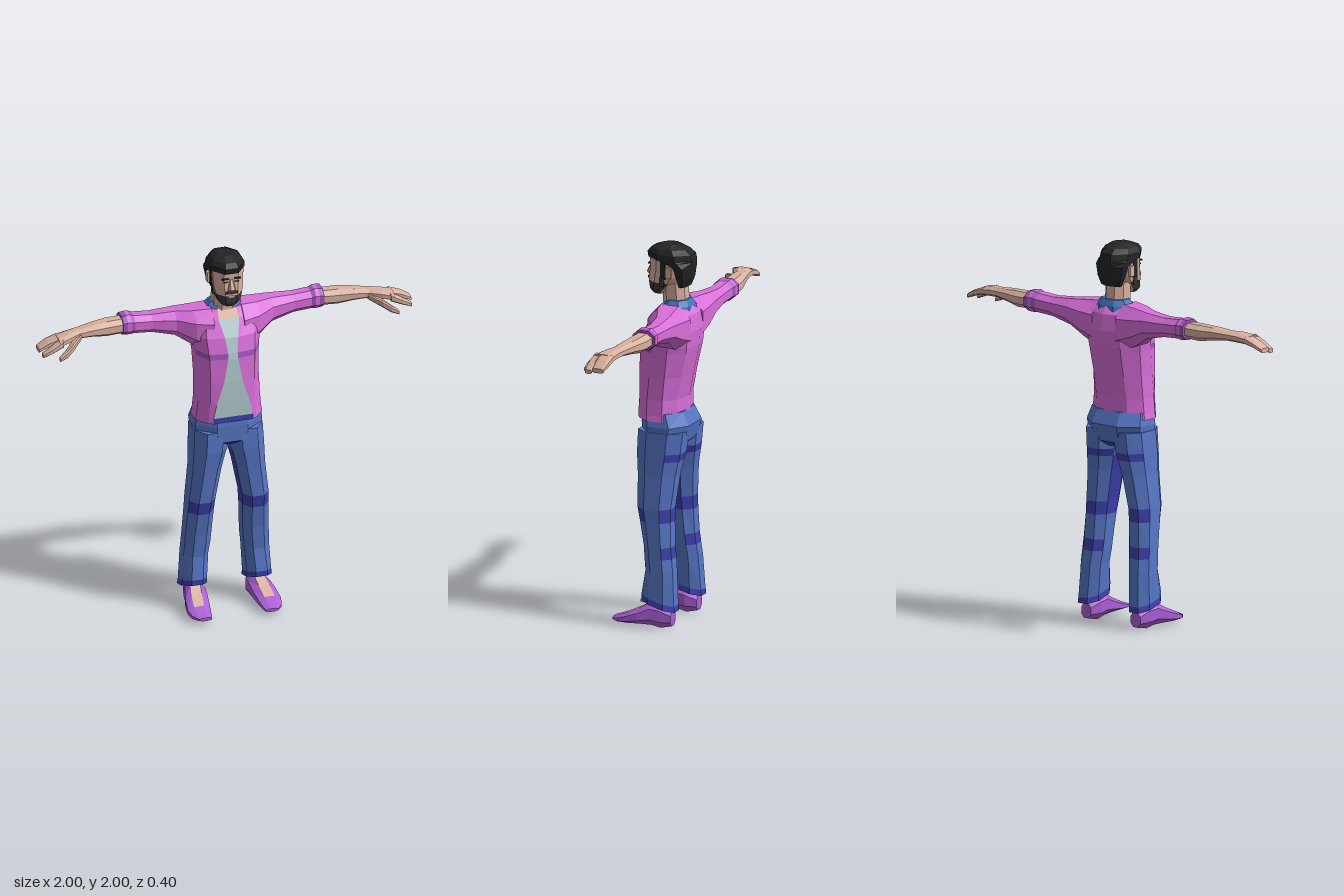
import * as THREE from 'three';

const paint = (name, color) => {
  const m = new THREE.MeshStandardMaterial({ color });
  m.name = name;
  return m;
};
const skin = paint('skin', 0xd9b09f);
const pink = paint('shirt pink', 0xd96fdb);
const purple = paint('purple trim', 0xa056bd);
const tee = paint('undershirt', 0xb5cdd0);
const blue = paint('denim', 0x5676c6);
const navy = paint('dark denim', 0x3c40ae);
const collarBlue = paint('collar blue', 0x4274bd);
const hair = paint('hair', 0x242424);
const beard = paint('beard', 0x3d3836);
const shoe = paint('shoe purple', 0xac5fd6);

const V = (x, y, z) => new THREE.Vector3(x, y, z);

// Octagon inside a rectangle. Sides: 0 +b, 2 +a, 4 -b, 6 -a, odd ones are corners.
function oct(a0, a1, b0, b1, f = 0.27) {
  const c = (a1 - a0) * f, d = (b1 - b0) * f;
  return [[a0 + c, b1], [a1 - c, b1], [a1, b1 - d], [a1, b0 + d],
    [a1 - c, b0], [a0 + c, b0], [a0, b0 + d], [a0, b1 - d]];
}

// Closed faceted skin over a row of rings; pick(row, side) gives the material, side -1 is a cap.
function loft(name, rings, pick) {
  const faces = new Map();
  let volume = 0;
  const tri = (m, a, b, c) => {
    volume += a.dot(b.clone().cross(c));
    if (!faces.has(m)) faces.set(m, []);
    faces.get(m).push([a, b, c]);
  };
  const n = rings[0].length;
  for (let i = 0; i < rings.length - 1; i++) {
    for (let j = 0; j < n; j++) {
      const k = (j + 1) % n, m = pick(i, j);
      tri(m, rings[i][j], rings[i][k], rings[i + 1][k]);
      tri(m, rings[i][j], rings[i + 1][k], rings[i + 1][j]);
    }
  }
  for (const end of [0, rings.length - 1]) {
    const r = rings[end];
    const mid = r.reduce((s, p) => s.add(p), V(0, 0, 0)).divideScalar(n);
    for (let j = 0; j < n; j++) {
      const a = r[j], b = r[(j + 1) % n];
      if (end) tri(pick(end - 1, -1), mid, a, b);
      else tri(pick(0, -1), mid, b, a);
    }
  }
  const geo = new THREE.BufferGeometry(), pos = [], mats = [];
  for (const [m, list] of faces) {
    geo.addGroup(pos.length / 3, list.length * 3, mats.length);
    mats.push(m);
    for (const [a, b, c] of list) {
      for (const p of volume > 0 ? [a, b, c] : [a, c, b]) pos.push(p.x, p.y, p.z);
    }
  }
  geo.setAttribute('position', new THREE.Float32BufferAttribute(pos, 3));
  geo.computeVertexNormals();
  const mesh = new THREE.Mesh(geo, mats);
  mesh.name = name;
  return mesh;
}

// Rows [y, half width, front z, back z] stacked upward
const stack = (rows, f) => rows.map(([y, w, zf, zb]) => oct(-w, w, zb, zf, f).map(([x, z]) => V(x, y, z)));
// Rows [x, top, bottom, front z, back z] running outward along an arm
const along = (s, rows, f) => rows.map(([x, t, b, zf, zb]) => oct(zb, zf, b, t, f).map(([z, y]) => V(s * x, y, z)));

function box(name, mat, w, h, d, x, y, z) {
  const m = new THREE.Mesh(new THREE.BoxGeometry(w, h, d), mat);
  m.name = name;
  m.position.set(x, y, z);
  return m;
}

function torso() {
  // y, half width, half opening, front z, back z
  const rows = [
    [1.09, 0.18, 0.105, 0.1, -0.145], [1.12, 0.174, 0.105, 0.1, -0.14], [1.2, 0.166, 0.088, 0.102, -0.14],
    [1.32, 0.163, 0.05, 0.104, -0.162], [1.45, 0.168, 0.027, 0.1, -0.19], [1.48, 0.172, 0.025, 0.095, -0.195],
    [1.56, 0.18, 0.035, 0.075, -0.2], [1.645, 0.165, 0.055, 0.025, -0.185], [1.69, 0.11, 0.05, -0.01, -0.15],
  ];
  const rings = rows.map(([y, w, p, zf, zb]) => {
    const zm = (zf + zb) / 2;
    const half = [[0, zf], [p, zf], [Math.max(0.72 * w, p + 0.01), zf - 0.015], [w, zm + 0.045],
      [w, zm - 0.04], [0.62 * w, zb + 0.025], [0, zb]];
    const other = half.slice(1, 6).reverse().map(([x, z]) => [-x, z]);
    return [...half, ...other].map(([x, z]) => V(x, y, z));
  });
  return loft('openShirt', rings, (i, j) => {
    if (j === 0 || j === 11) return i === 0 ? navy : i === 7 ? skin : tee;
    const front = j === 1 || j === 2 || j === 9 || j === 10;
    return i === 4 && front ? purple : pink;
  });
}

function arm(s) {
  const g = new THREE.Group();
  g.name = s > 0 ? 'leftArm' : 'rightArm';
  g.add(loft('sleeve', along(s, [
    [0.08, 1.695, 1.45, 0.045, -0.18], [0.17, 1.688, 1.49, 0.02, -0.18], [0.26, 1.68, 1.545, -0.035, -0.175],
    [0.38, 1.672, 1.572, -0.06, -0.168], [0.475, 1.678, 1.578, -0.062, -0.17], [0.495, 1.686, 1.576, -0.058, -0.178],
    [0.515, 1.686, 1.576, -0.058, -0.178], [0.54, 1.682, 1.58, -0.058, -0.18],
  ]), (i, j) => (i === 4 || i === 6 || (i === 2 && j === 4) ? purple : pink)));
  g.add(loft('forearm', along(s, [
    [0.52, 1.668, 1.588, -0.065, -0.168], [0.62, 1.667, 1.585, -0.06, -0.163], [0.7, 1.662, 1.598, -0.052, -0.145],
    [0.78, 1.653, 1.605, -0.045, -0.125], [0.84, 1.65, 1.6, -0.015, -0.112], [0.9, 1.64, 1.595, 0.005, -0.105],
  ]), () => skin));
  // Fingers curl slightly downward
  g.add(loft('fingers', along(s, [
    [0.89, 1.641, 1.6, -0.03, -0.106], [0.95, 1.62, 1.588, -0.032, -0.105], [1, 1.592, 1.568, -0.035, -0.095],
  ], 0.2), () => skin));
  g.add(loft('indexFinger', along(s, [
    [0.88, 1.64, 1.598, 0.006, -0.04], [0.94, 1.608, 1.575, 0.014, -0.03], [0.99, 1.577, 1.556, 0.01, -0.025],
  ], 0.2), () => skin));
  g.add(loft('thumb', along(s, [
    [0.77, 1.635, 1.607, -0.04, -0.08], [0.83, 1.618, 1.58, 0.025, -0.03], [0.87, 1.592, 1.556, 0.045, 0.005],
    [0.91, 1.563, 1.543, 0.052, 0.022],
  ], 0.2), () => skin));
  return g;
}

function leg(s) {
  const g = new THREE.Group();
  g.name = s > 0 ? 'leftLeg' : 'rightLeg';
  // y, inner x, outer x, front z, back z; the hem drops toward the heel
  const rows = [
    [0.12, 0.105, 0.242, 0.038, -0.143], [0.15, 0.107, 0.238, 0.04, -0.14], [0.3, 0.097, 0.23, 0.022, -0.13],
    [0.37, 0.088, 0.226, 0.03, -0.122], [0.43, 0.084, 0.223, 0.035, -0.115], [0.56, 0.078, 0.216, 0.06, -0.11],
    [0.63, 0.072, 0.213, 0.075, -0.11], [0.8, 0.04, 0.194, 0.083, -0.125], [0.88, 0.02, 0.19, 0.09, -0.14],
    [0.92, 0.006, 0.188, 0.093, -0.148], [1.03, 0.003, 0.182, 0.09, -0.16],
  ];
  const rings = rows.map(([y, a, b, zf, zb], i) => oct(a, b, zb, zf)
    .map(([x, z]) => V(s * x, y + (i < 2 ? 0.3 * (z + 0.05) : 0), z)));
  g.add(loft('trouserLeg', rings, (i, j) => {
    const back = j >= 3 && j <= 5;
    const dark = i === 0 || (i === 5 && j !== 2) || (i === 3 && back) || (i === 8 && back) || (j === 6 && (i === 6 || i === 7));
    return dark ? navy : blue;
  }));
  // Slip-on shoe: z, inner x, outer x, sole y, top y
  const foot = [
    [-0.12, 0.135, 0.2, 0.012, 0.09], [-0.06, 0.115, 0.215, 0, 0.13], [-0.01, 0.115, 0.225, 0.012, 0.135],
    [0.05, 0.12, 0.242, 0.015, 0.1], [0.12, 0.13, 0.25, 0.014, 0.068], [0.165, 0.138, 0.24, 0.014, 0.05],
    [0.2, 0.145, 0.212, 0.02, 0.038],
  ].map(([z, a, b, y0, y1]) => oct(a, b, y0, y1).map(([x, y]) => V(s * x, y, z)));
  g.add(loft('shoe', foot, (i, j) => (j === 0 && i >= 1 && i <= 3 ? skin : shoe)));
  return g;
}

function head() {
  const g = new THREE.Group();
  g.name = 'head';
  g.add(loft('neck', stack([[1.62, 0.068, 0, -0.14], [1.69, 0.062, -0.005, -0.13], [1.8, 0.06, 0.0, -0.12]]), () => skin));
  g.add(loft('face', stack([
    [1.733, 0.034, 0.056, -0.01], [1.755, 0.056, 0.07, -0.035], [1.8, 0.07, 0.074, -0.09], [1.83, 0.077, 0.07, -0.11],
    [1.88, 0.081, 0.064, -0.13], [1.93, 0.083, 0.066, -0.14], [1.96, 0.07, 0.05, -0.12],
  ]), (i, j) => (i < 2 && (j < 3 || j > 5 || j === -1) ? beard : skin)));
  g.add(loft('nose', stack([
    [1.826, 0.018, 0.082, 0.05], [1.84, 0.018, 0.095, 0.05], [1.89, 0.009, 0.07, 0.05],
  ], 0.2), () => skin));
  g.add(box('moustache', beard, 0.066, 0.014, 0.009, 0, 1.818, 0.0735));
  g.add(box('mouth', skin, 0.03, 0.012, 0.006, 0, 1.797, 0.074));
  // Hair wraps the back, then steps forward over the brow
  g.add(loft('hair', stack([
    [1.785, 0.06, -0.09, -0.14], [1.83, 0.078, -0.075, -0.157], [1.89, 0.09, -0.055, -0.165], [1.915, 0.092, 0.02, -0.166],
    [1.925, 0.092, 0.074, -0.166], [1.955, 0.09, 0.08, -0.16], [1.98, 0.076, 0.06, -0.13], [2, 0.045, 0.01, -0.08],
  ], 0.3), () => hair));
  for (const s of [-1, 1]) {
    g.add(box('sideburn', hair, 0.009, 0.1, 0.03, s * 0.08, 1.875, -0.025));
    g.add(box('jawBeard', beard, 0.009, 0.05, 0.025, s * 0.074, 1.81, -0.015));
    g.add(box('ear', skin, 0.016, 0.055, 0.03, s * 0.086, 1.862, -0.058));
    g.add(box('eyebrow', hair, 0.036, 0.008, 0.008, s * 0.032, 1.895, 0.066));
    g.add(box('eye', beard, 0.022, 0.007, 0.006, s * 0.03, 1.876, 0.064));
  }
  return g;
}

export function createModel() {
  const model = new THREE.Group();
  model.name = 'man';
  model.add(torso());
  model.add(loft('collar', stack([[1.645, 0.115, 0.012, -0.165], [1.685, 0.1, -0.008, -0.155], [1.715, 0.072, -0.03, -0.138]]),
    (i, j) => (j === 0 ? skin : collarBlue)));
  model.add(loft('trouserSeat', stack([
    [0.94, 0.06, 0.05, -0.11], [0.97, 0.17, 0.09, -0.15], [1.06, 0.18, 0.092, -0.172], [1.13, 0.165, 0.085, -0.135],
  ]), (i) => (i === 0 ? navy : blue)));
  for (const s of [-1, 1]) model.add(arm(s), leg(s));
  model.add(head());
  return model;
}
